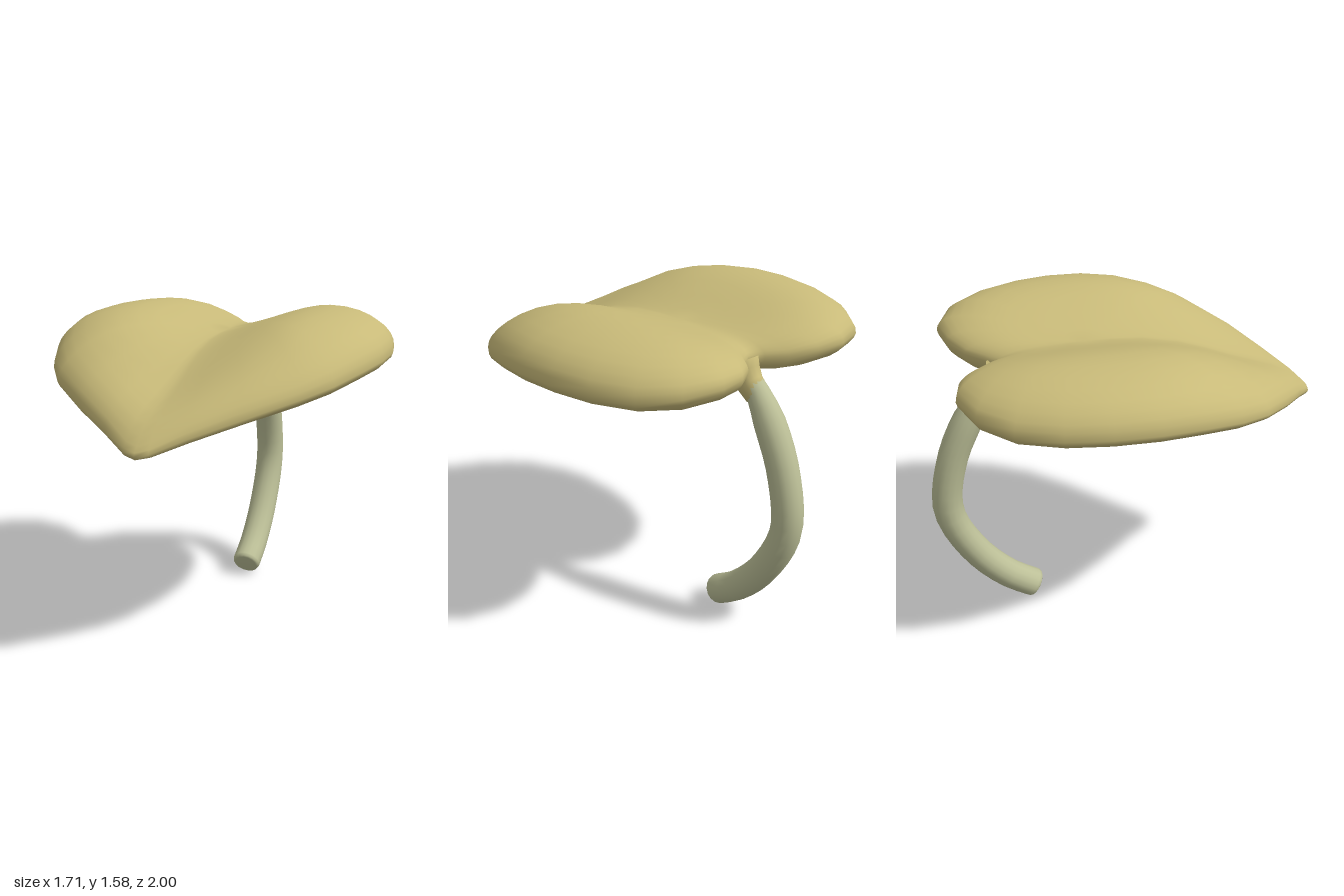
import * as THREE from 'three';
import { mergeVertices } from 'three/addons/utils/BufferGeometryUtils.js';

// Smooth interpolation through [input, value] knots
function curveThrough(knots) {
  const slope = (i) => {
    const a = knots[Math.max(i - 1, 0)], b = knots[Math.min(i + 1, knots.length - 1)];
    return (b[1] - a[1]) / (b[0] - a[0]);
  };
  return (z) => {
    let i = 0;
    while (i < knots.length - 2 && z > knots[i + 1][0]) i++;
    const [z0, y0] = knots[i], [z1, y1] = knots[i + 1];
    const h = z1 - z0, t = THREE.MathUtils.clamp((z - z0) / h, 0, 1), t2 = t * t, t3 = t2 * t;
    return y0 * (2 * t3 - 3 * t2 + 1) + y1 * (3 * t2 - 2 * t3)
      + h * (slope(i) * (t3 - 2 * t2 + t) + slope(i + 1) * (t3 - t2));
  };
}

// Skin over a list of closed loops of Vector3, all of equal length
function skin(loops) {
  const n = loops[0].length, index = [];
  for (let i = 0; i < loops.length - 1; i++) {
    for (let j = 0; j < n; j++) {
      const k = (j + 1) % n;
      const a = i * n + j, b = i * n + k, c = a + n, d = b + n;
      index.push(a, b, d, a, d, c);
    }
  }
  const geo = new THREE.BufferGeometry();
  geo.setAttribute('position', new THREE.Float32BufferAttribute(loops.flat().flatMap((p) => [p.x, p.y, p.z]), 3));
  geo.setIndex(index);
  const merged = mergeVertices(geo, 1e-5);
  merged.computeVertexNormals();
  return merged;
}

// Elliptical ring across a path in the x = 0 plane
function ring(curve, t, rx, rz, sides = 16) {
  const centre = curve.getPointAt(t), tangent = curve.getTangentAt(t);
  const across = new THREE.Vector3(1, 0, 0), side = tangent.clone().cross(across);
  return Array.from({ length: sides }, (_, j) => {
    const a = (j / sides) * Math.PI * 2;
    return centre.clone().addScaledVector(across, Math.cos(a) * rx).addScaledVector(side, Math.sin(a) * rz);
  });
}

const path = (points) => new THREE.CatmullRomCurve3(points.map(([y, z]) => new THREE.Vector3(0, y, z)));

function leafGeometry() {
  // Half outline (x, z) from the notch round to the tip
  const half = [[0, -0.64], [0.07, -0.68], [0.14, -0.765], [0.26, -0.84], [0.41, -0.868], [0.59, -0.805],
    [0.73, -0.66], [0.815, -0.46], [0.853, -0.25], [0.852, -0.03], [0.805, 0.18], [0.72, 0.38], [0.61, 0.545],
    [0.4, 0.73], [0.2, 0.875], [0.06, 0.98], [0, 1]];
  const outline = [...half, ...half.slice(1, -1).reverse().map(([x, z]) => [-x, z])];
  const valley = curveThrough([[-0.87, 1.44], [-0.6, 1.45], [-0.2, 1.455], [0.1, 1.44], [0.33, 1.39],
    [0.6, 1.29], [0.88, 1.21], [1, 1.13]]);
  const rim = curveThrough([[-0.87, 1.41], [-0.7, 1.375], [-0.2, 1.37], [0.1, 1.355], [0.33, 1.315],
    [0.6, 1.25], [0.88, 1.125], [1, 1.06]]);
  const top = (x, z) => valley(z) + 0.13 * Math.pow(Math.sin(Math.min(Math.abs(x) / 0.53, 1) * Math.PI / 2), 1.5);
  const under = (x, z) => (top(x, z) - 0.13 + rim(z) - 0.04) / 2;
  const middle = -0.2;
  const loop = (r, height) => outline.map(([px, pz]) => {
    const x = px * r, z = middle + (pz - middle) * r;
    return new THREE.Vector3(x, height(x, z), z);
  });
  const loops = [];
  // Upper face, rolling over to the rim
  for (const r of [0, 0.12, 0.25, 0.4, 0.52, 0.63, 0.73, 0.82, 0.89, 0.94, 0.975, 0.993, 1]) {
    const roll = 1 - Math.sqrt(1 - Math.pow(r, 4.6));
    loops.push(loop(r, (x, z) => THREE.MathUtils.lerp(top(x, z), rim(z), roll)));
  }
  // Lower lip
  for (const [r, drop] of [[0.99, 0.022], [0.965, 0.043], [0.92, 0.06], [0.87, 0.068], [0.83, 0.06]]) {
    loops.push(loop(r, (x, z) => rim(z) - drop));
  }
  // Shallow hollow underside
  loops.push(loop(0.79, (x, z) => (rim(z) - 0.05 + under(x, z)) / 2));
  for (const r of [0.73, 0.6, 0.45, 0.3, 0.15, 0]) loops.push(loop(r, under));
  return skin(loops);
}

function stemGeometry() {
  const curve = path([[0.053, -0.487], [0.148, -0.635], [0.33, -0.8], [0.59, -0.918], [0.88, -0.88],
    [1.1, -0.785], [1.22, -0.71], [1.28, -0.655]]);
  const loops = [ring(curve, 0, 0, 0), ring(curve, 0, 0.062, 0.062), ring(curve, 0.004, 0.072, 0.072)];
  for (let i = 0; i <= 20; i++) {
    const t = 0.014 + (i / 20) * 0.986;
    const r = 0.077 - 0.025 * THREE.MathUtils.smoothstep(t, 0.82, 1);
    loops.push(ring(curve, t, r, r));
  }
  loops.push(ring(curve, 1, 0, 0));
  return skin(loops);
}

// Flared collar that widens from the stem into the underside of the leaf
function jointGeometry() {
  const curve = path([[1.215, -0.705], [1.26, -0.655], [1.3, -0.615], [1.345, -0.59]]);
  return skin([[0, 0, 0], [0, 0.058, 0.062], [0.35, 0.06, 0.068], [0.7, 0.075, 0.085], [1, 0.085, 0.1], [1, 0, 0]]
    .map(([t, rx, rz]) => ring(curve, t, rx, rz)));
}

export function createModel() {
  const leafColour = new THREE.MeshStandardMaterial({ color: 0xc8ba79 });
  leafColour.name = 'dry leaf yellow';
  const stemColour = new THREE.MeshStandardMaterial({ color: 0xbcbf97 });
  stemColour.name = 'pale stem green';

  const model = new THREE.Group();
  model.name = 'heartLeaf';
  const add = (name, geometry, material) => {
    const mesh = new THREE.Mesh(geometry, material);
    mesh.name = name;
    model.add(mesh);
  };
  add('leafBlade', leafGeometry(), leafColour);
  add('stem', stemGeometry(), stemColour);
  add('stemJoint', jointGeometry(), leafColour);
  return model;
}
